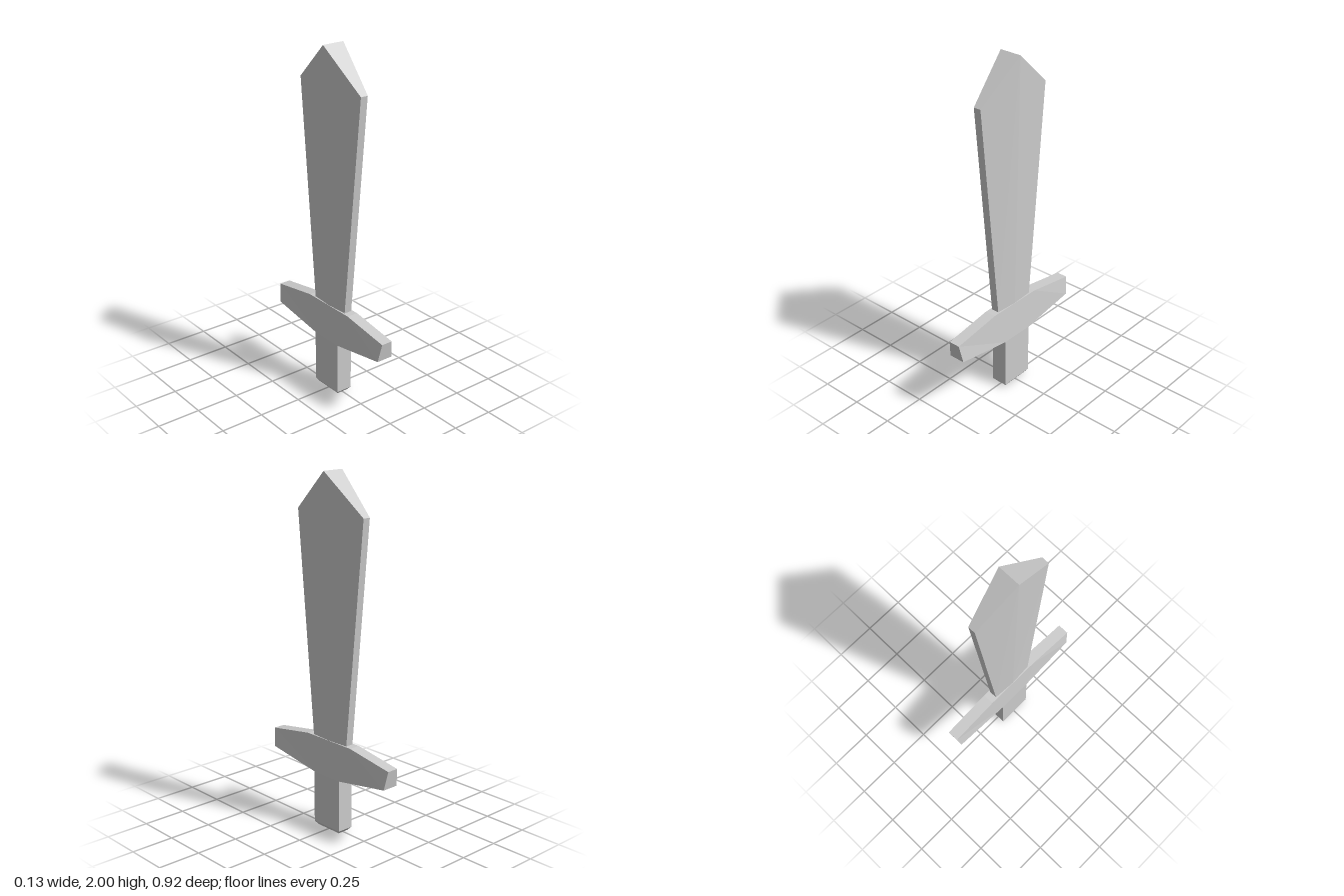
import * as THREE from 'three';

// Closed faceted solid through rings of points (counterclockwise seen from the last ring's end).
function loft(name, rings) {
  const n = rings[0].length;
  const index = [];
  rings.slice(1).forEach((_, r) => {
    for (let i = 0; i < n; i++) {
      const j = (i + 1) % n;
      const a = r * n + i, b = r * n + j, c = b + n, d = a + n;
      index.push(a, b, c, a, c, d);
    }
  });
  const last = (rings.length - 1) * n;
  for (let i = 1; i < n - 1; i++) {
    index.push(0, i + 1, i);
    index.push(last, last + i, last + i + 1);
  }
  const indexed = new THREE.BufferGeometry();
  indexed.setAttribute('position', new THREE.Float32BufferAttribute(rings.flat(2), 3));
  indexed.setIndex(index);
  const geometry = indexed.toNonIndexed();
  geometry.computeVertexNormals();
  const mesh = new THREE.Mesh(geometry, new THREE.MeshStandardMaterial({ color: 0xcccccc, flatShading: true }));
  mesh.name = name;
  return mesh;
}

// Six-sided blade section: thick central ridge, thin squared edges.
const bladeRing = (ridgeX, ridgeY, edgeX, edgeY, edgeZ) => [
  [ridgeX, ridgeY, 0], [edgeX, edgeY, -edgeZ], [-edgeX, edgeY, -edgeZ],
  [-ridgeX, ridgeY, 0], [-edgeX, edgeY, edgeZ], [edgeX, edgeY, edgeZ],
];

// Guard section: wider at the bottom than at the top.
const guardRing = (topZ, topY, bottomZ, bottomY) => [
  [0.048, bottomY, bottomZ], [0.033, topY, topZ],
  [-0.033, topY, topZ], [-0.048, bottomY, bottomZ],
];

// Rectangular grip section.
const gripRing = (x, y, z) => [[x, y, z], [x, y, -z], [-x, y, -z], [-x, y, z]];

export function createModel() {
  const sword = new THREE.Group();
  sword.name = 'sword';

  // Blade flares upward and ends in a wedge-shaped tip
  sword.add(loft('blade', [
    bladeRing(0.031, 0.52, 0.023, 0.52, 0.13),
    bladeRing(0.065, 2, 0.022, 1.78, 0.25),
  ]));

  // Crossguard tapers toward both ends
  sword.add(loft('crossguard', [
    guardRing(-0.46, 0.48, -0.443, 0.375),
    guardRing(-0.17, 0.527, -0.1, 0.32),
    guardRing(0.17, 0.527, 0.1, 0.32),
    guardRing(0.46, 0.48, 0.443, 0.375),
  ]));

  // Grip with a chamfered end
  sword.add(loft('grip', [
    gripRing(0.033, 0, 0.083),
    gripRing(0.048, 0.02, 0.1),
    gripRing(0.048, 0.32, 0.1),
  ]));

  return sword;
}
